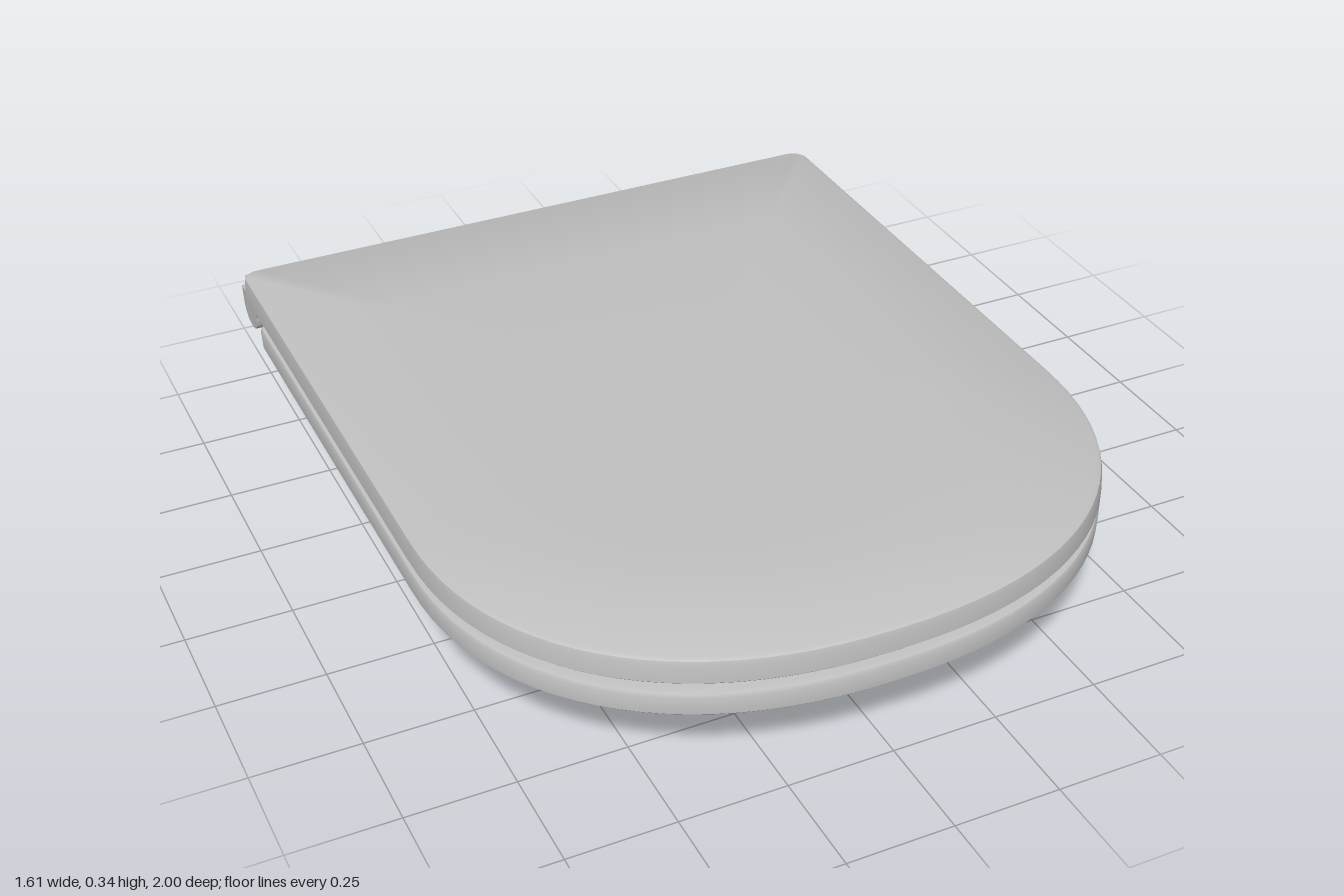
import * as THREE from 'three';
import { toCreasedNormals } from 'three/addons/utils/BufferGeometryUtils.js';

const plastic = new THREE.MeshStandardMaterial({ color: 0xc0c0c0 });
plastic.name = 'light grey';

// D-shaped loop: superelliptic front, straight sides, rounded back corners.
function ring(o, inset, y, scale = 1) {
  const w = o.w - inset, zf = o.zf - inset, zb = o.zb + inset, r = Math.max(o.r - inset, 0.012);
  const pts = [], e = 2 / 2.25;
  const add = (x, z) => pts.push(new THREE.Vector3(x * scale, y, z * scale));
  for (let i = 0; i <= 48; i++) {
    const a = (i / 48) * Math.PI, c = Math.cos(a), s = Math.max(Math.sin(a), 0);
    add(w * Math.sign(c) * Math.abs(c) ** e, o.z0 + (zf - o.z0) * s ** e);
  }
  for (const start of [Math.PI, Math.PI * 1.5]) {
    const cx = start === Math.PI ? r - w : w - r;
    for (let i = 0; i <= 8; i++) {
      const a = start + (i / 8) * Math.PI / 2;
      add(cx + r * Math.cos(a), zb + r + r * Math.sin(a));
    }
  }
  return pts;
}

// Skin a sequence of loops, skipping collapsed triangles.
function loft(loops) {
  const pos = [];
  const tri = (a, b, c) => {
    if (a.distanceTo(b) > 1e-6 && b.distanceTo(c) > 1e-6 && c.distanceTo(a) > 1e-6)
      for (const p of [a, b, c]) pos.push(p.x, p.y, p.z);
  };
  for (let k = 0; k < loops.length - 1; k++) {
    const lo = loops[k], hi = loops[k + 1], n = lo.length;
    for (let i = 0; i < n; i++) {
      const j = (i + 1) % n;
      tri(lo[i], hi[i], lo[j]);
      tri(lo[j], hi[i], hi[j]);
    }
  }
  const g = new THREE.BufferGeometry();
  g.setAttribute('position', new THREE.Float32BufferAttribute(pos, 3));
  return toCreasedNormals(g, 0.6);
}

// Extrude a (-z, y) profile along x from a to b.
function alongX(shape, a, b) {
  const g = new THREE.ExtrudeGeometry(shape, { depth: b - a, bevelEnabled: false, curveSegments: 10 });
  g.rotateY(Math.PI / 2);
  g.translate(a, 0, 0);
  return toCreasedNormals(g, 0.6);
}

export function createModel() {
  const model = new THREE.Group();
  model.name = 'toiletSeat';
  const part = (name, geometry, x = 0, y = 0, z = 0) => {
    const m = new THREE.Mesh(geometry, plastic);
    m.name = name;
    m.position.set(x, y, z);
    model.add(m);
    return m;
  };

  // Lid: hollow shell with a slightly crowned top
  const lid = { w: 0.805, zf: 1, zb: -0.978, r: 0.045, z0: 0.28 };
  part('lid', loft([
    ring(lid, 0.03, 0.3, 0), ring(lid, 0.03, 0.3), ring(lid, 0.026, 0.272),
    ring(lid, 0.005, 0.27), ring(lid, 0, 0.275), ring(lid, 0.002, 0.315),
    ring(lid, 0.005, 0.326), ring(lid, 0.014, 0.331),
    ring(lid, 0.014, 0.336, 0.65), ring(lid, 0.014, 0.34, 0.3), ring(lid, 0.014, 0.341, 0),
  ]));

  // Seat ring: recessed underside and a splash guard around the opening
  const seat = { w: 0.805, zf: 1, zb: -0.86, r: 0.045, z0: 0.28 };
  const hole = { w: 0.54, zf: 0.752, zb: -0.545, r: 0.38, z0: 0.15 };
  part('seatRing', loft([
    ring(seat, 0.008, 0.186), ring(seat, 0.002, 0.192), ring(seat, 0, 0.235),
    ring(seat, 0.004, 0.243), ring(seat, 0.014, 0.246),
    ring(hole, 0.012, 0.246), ring(hole, 0.022, 0.24), ring(hole, 0.028, 0.225),
    ring(hole, 0.045, 0.118), ring(hole, 0.04, 0.115), ring(hole, 0.026, 0.115),
    ring(hole, 0.02, 0.122), ring(hole, 0.003, 0.19), ring(hole, -0.015, 0.215),
    ring(seat, 0.034, 0.215), ring(seat, 0.028, 0.186), ring(seat, 0.008, 0.186),
  ]));

  // Side profile of the lid ears
  const ear = new THREE.Shape();
  ear.moveTo(0.845, 0.29);
  ear.lineTo(0.845, 0.27);
  ear.quadraticCurveTo(0.866, 0.27, 0.866, 0.245);
  ear.quadraticCurveTo(0.868, 0.206, 0.915, 0.205);
  ear.quadraticCurveTo(0.965, 0.205, 0.975, 0.25);
  ear.lineTo(0.98, 0.29);

  // Profile of the curved skirt behind the hinges
  const skirt = new THREE.Shape();
  skirt.moveTo(0.983, 0.315);
  skirt.lineTo(0.976, 0.25);
  skirt.quadraticCurveTo(0.965, 0.205, 0.92, 0.205);
  skirt.lineTo(0.92, 0.218);
  skirt.quadraticCurveTo(0.952, 0.218, 0.962, 0.25);
  skirt.lineTo(0.966, 0.315);

  // Soft rubber-style buffer, domed at the bottom
  const bumper = new THREE.LatheGeometry(
    [[0, 0], [0.025, 0.002], [0.045, 0.01], [0.057, 0.02], [0.06, 0.03], [0.06, 0.052]]
      .map(([x, y]) => new THREE.Vector2(x, y)), 24);

  const pin = (r, h, n = 24) => toCreasedNormals(new THREE.CylinderGeometry(r, r, h, n), 0.6);

  for (const s of [1, -1]) {
    const span = (shape, a, b) => (s > 0 ? alongX(shape, a, b) : alongX(shape, -b, -a));
    part('lidEar', span(ear, 0.772, 0.802));
    part('lidSkirt', span(skirt, 0.42, 0.79));
    part('hingeCollar', span(ear, 0.425, 0.49));

    // Hinge barrel on its post
    const barrel = part('hingeBarrel', pin(0.05, 0.16), s * 0.348, 0.252, -0.925);
    barrel.rotation.z = Math.PI / 2;
    part('hingePost', pin(0.032, 0.05), s * 0.345, 0.196, -0.93);
    part('washer', pin(0.07, 0.01, 32), s * 0.345, 0.17, -0.93);

    // Mounting bolt with wing plate and nut
    part('bolt', pin(0.011, 0.17, 16), s * 0.345, 0.085, -0.93);
    part('wingPlate', new THREE.BoxGeometry(0.135, 0.012, 0.056), s * 0.345, 0.046, -0.93);
    part('wingHub', toCreasedNormals(new THREE.CylinderGeometry(0.045, 0.022, 0.012, 6).scale(1, 1, 0.6), 0.3),
      s * 0.345, 0.035, -0.93);
    part('nut', pin(0.016, 0.024, 6), s * 0.345, 0.016, -0.93);

    // Buffers under the seat and under the lid
    part('frontSeatBumper', bumper, s * 0.6, 0.165, 0.68);
    part('rearSeatBumper', bumper, s * 0.7, 0.17, -0.28);
    part('lidBumper', bumper, s * 0.6, 0.25, 0.68);
  }
  return model;
}
